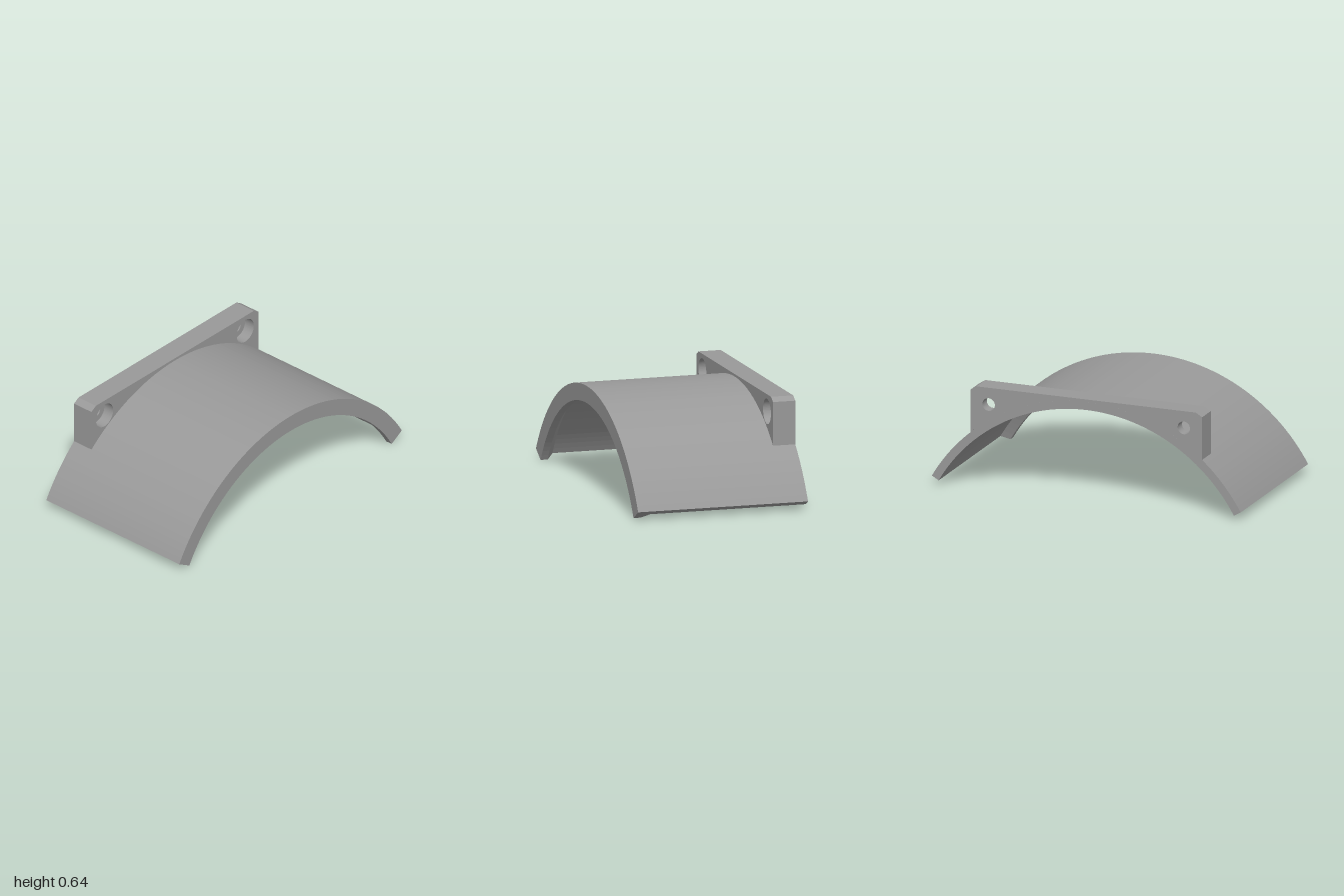
import * as THREE from 'three';

const R = 1.1547, WALL = 1.104, LIP = 1.05;  // outer, wall and front lip radii
const CY = -0.525;                           // height of the arc axis
const HALF = Math.PI / 3, DEPTH = 0.535;     // half sweep and half length

export function createModel() {
  const grey = new THREE.MeshStandardMaterial({ color: 0x999999, flatShading: true });
  grey.name = 'grey';
  const model = new THREE.Group();
  model.name = 'archedBracket';
  const add = (name, geometry, parent = model) => {
    const mesh = new THREE.Mesh(geometry, grey);
    mesh.name = name;
    parent.add(mesh);
    return mesh;
  };

  // Arched shell: a closed cross-section swept through 120 degrees
  const profile = [
    [R, -DEPTH], [R, DEPTH], [WALL, DEPTH], [WALL, -0.445], [LIP, -0.49], [LIP, -DEPTH],
  ].map(([r, y]) => new THREE.Vector2(r, y));
  const shell = new THREE.Group();
  shell.name = 'shell';
  shell.rotation.x = -Math.PI / 2;
  shell.position.y = CY;
  model.add(shell);
  add('archWall', new THREE.LatheGeometry([...profile, profile[0].clone()], 60, -HALF, 2 * HALF), shell);

  // Flat ends of the arch
  for (const side of [-1, 1]) {
    const cap = new THREE.ShapeGeometry(new THREE.Shape(profile));
    if (side > 0) cap.setIndex(Array.from(cap.index.array).reverse());
    cap.rotateY(side * HALF - Math.PI / 2);
    add(side > 0 ? 'leftEnd' : 'rightEnd', cap, shell);
  }

  // Rear flange, in two layers so the bolt holes are counterbored
  const flangeLayer = (name, holeRadius, z, depth) => {
    const a = Math.asin(0.75 / R);
    const shape = new THREE.Shape();
    shape.moveTo(0.75, CY + R * Math.cos(a));
    shape.lineTo(0.75, 0.62);
    shape.lineTo(0.71, 0.645);
    shape.lineTo(-0.71, 0.645);
    shape.lineTo(-0.75, 0.62);
    shape.lineTo(-0.75, CY + R * Math.cos(a));
    shape.absarc(0, CY, R, Math.PI / 2 + a, Math.PI / 2 - a, true);
    for (const x of [-0.632, 0.632]) {
      const hole = new THREE.Path();
      hole.absarc(x, 0.54, holeRadius, 0, Math.PI * 2, true);
      shape.holes.push(hole);
    }
    const geometry = new THREE.ExtrudeGeometry(shape, { depth, bevelEnabled: false, curveSegments: 32 });
    add(name, geometry).position.z = z;
  };
  flangeLayer('flangeBack', 0.04, -DEPTH, 0.07);
  flangeLayer('flangeFront', 0.077, -DEPTH + 0.07, 0.07);

  return model;
}
